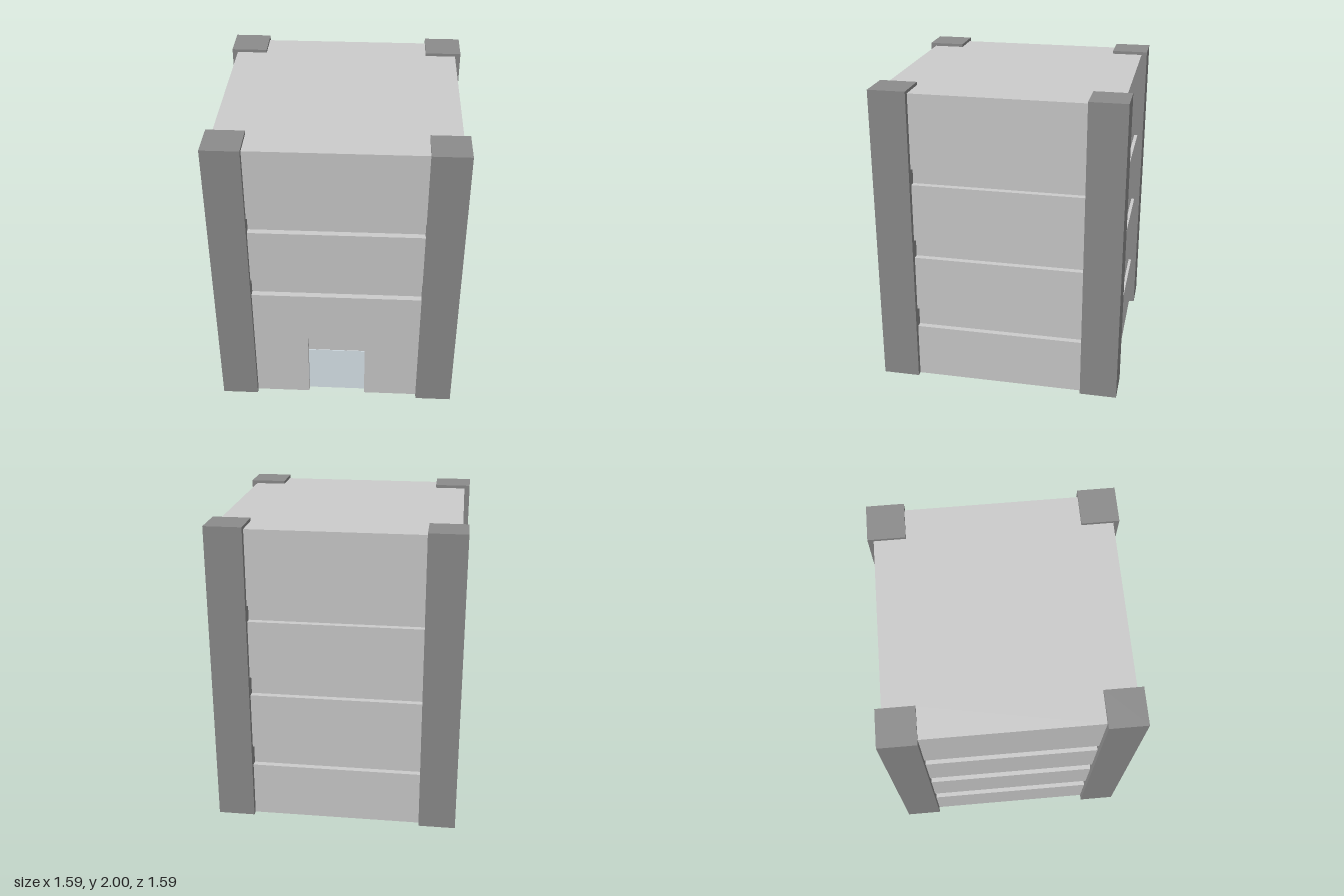
import * as THREE from 'three';

const OUTER = 0.797;  // outer face of the corner pillars
const INNER = 0.556;  // inner face of the corner pillars
const WALL = 0.76;    // wall face
const RECESS = 0.72;  // face of the grooves and the doorway
const DOOR = 0.193;   // half width of the doorway

const wallMaterial = new THREE.MeshStandardMaterial({ color: 0xcccccc });
const pillarMaterial = new THREE.MeshStandardMaterial({ color: 0x8c8c8c });
const glassMaterial = new THREE.MeshStandardMaterial({ color: 0xdce7ee });

// Cross-shaped storey slab that fits between the pillars
function storey(name, y0, y1, side, front, hasDoor) {
  const s = INNER;
  const points = [[-s, -front]];
  if (hasDoor) points.push([-DOOR, -front], [-DOOR, -RECESS], [DOOR, -RECESS], [DOOR, -front]);
  points.push(
    [s, -front], [s, -s], [side, -s], [side, s], [s, s], [s, side],
    [-s, side], [-s, s], [-side, s], [-side, -s], [-s, -s]
  );
  const shape = new THREE.Shape(points.map(([x, y]) => new THREE.Vector2(x, y)));
  const geometry = new THREE.ExtrudeGeometry(shape, { depth: y1 - y0, bevelEnabled: false });
  geometry.rotateX(-Math.PI / 2);
  const mesh = new THREE.Mesh(geometry, wallMaterial);
  mesh.name = name;
  mesh.position.y = y0;
  return mesh;
}

export function createModel() {
  const group = new THREE.Group();
  group.name = 'building';

  // Storeys and the grooves between them; the front has no lowest groove
  group.add(
    storey('groundWall', 0, 0.365, WALL, WALL, true),
    storey('lowerGroove', 0.365, 0.5, RECESS, WALL, true),
    storey('secondWall', 0.5, 0.875, WALL, WALL, false),
    storey('middleGroove', 0.875, 1.0, RECESS, RECESS, false),
    storey('thirdWall', 1.0, 1.383, WALL, WALL, false),
    storey('upperGroove', 1.383, 1.49, RECESS, RECESS, false),
    storey('topWall', 1.49, 1.98, WALL, WALL, false)
  );

  // Corner pillars
  const width = OUTER - INNER;
  const pillarGeometry = new THREE.BoxGeometry(width, 2, width);
  const centre = (OUTER + INNER) / 2;
  for (const sx of [-1, 1]) {
    for (const sz of [-1, 1]) {
      const pillar = new THREE.Mesh(pillarGeometry, pillarMaterial);
      pillar.name = (sz > 0 ? 'front' : 'back') + (sx > 0 ? 'Left' : 'Right') + 'Pillar';
      pillar.position.set(sx * centre, 1, sz * centre);
      group.add(pillar);
    }
  }

  // Glass door at the back of the doorway
  const door = new THREE.Mesh(new THREE.BoxGeometry(DOOR * 2, 0.365, 0.004), glassMaterial);
  door.name = 'glassDoor';
  door.position.set(0, 0.1825, RECESS + 0.002);
  group.add(door);

  return group;
}
